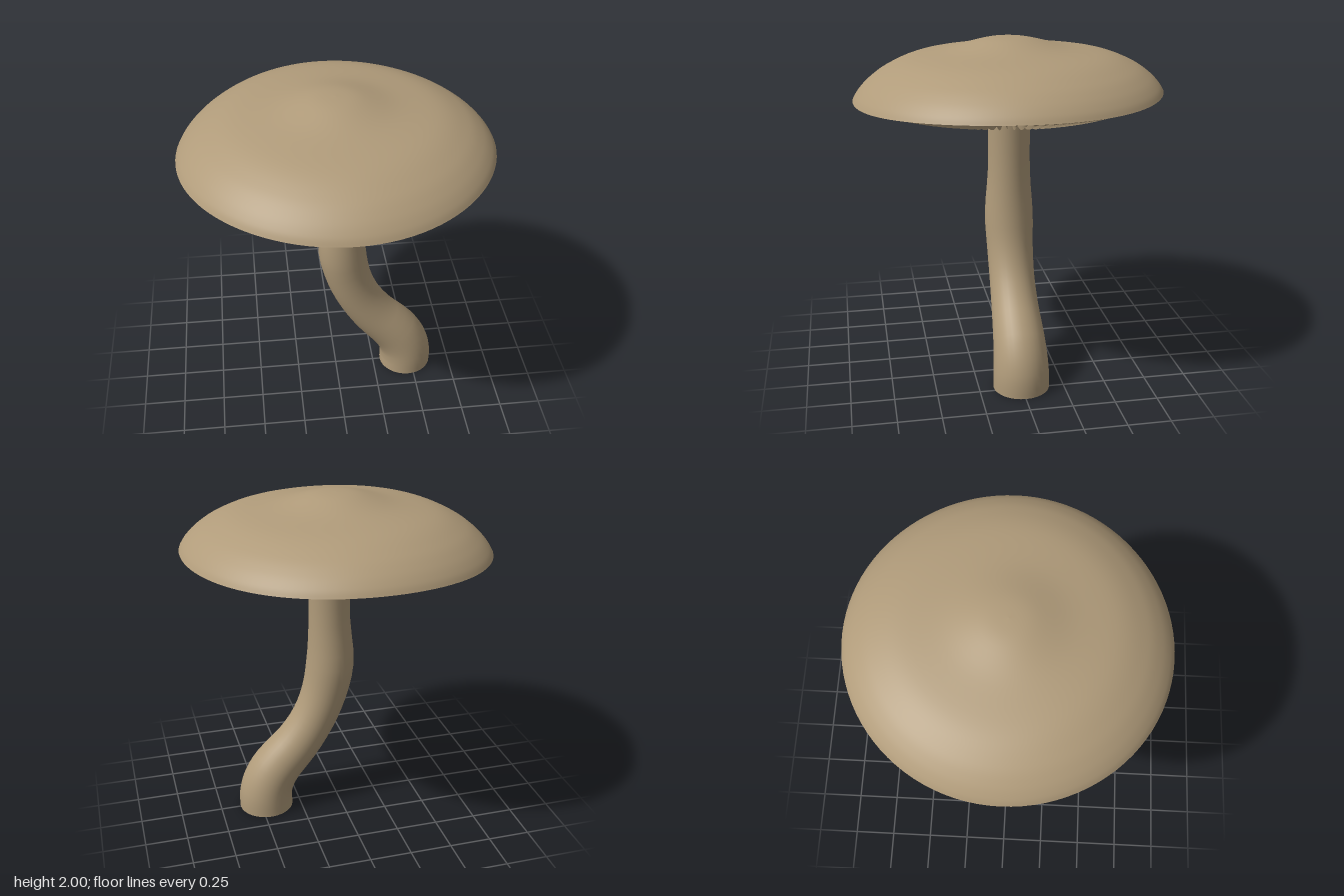
import * as THREE from 'three';

const TAU = Math.PI * 2;
const GILLS = 104;

// Closed ring grid: point(i, angle, j) gives the vertex of ring i.
function ringSurface(rings, sides, point) {
  const pos = [], index = [];
  for (let i = 0; i <= rings; i++) {
    for (let j = 0; j < sides; j++) pos.push(...point(i, (j / sides) * TAU, j));
  }
  for (let i = 0; i < rings; i++) {
    for (let j = 0; j < sides; j++) {
      const k = (j + 1) % sides;
      const a = i * sides + j, b = i * sides + k;
      const c = a + sides, d = b + sides;
      index.push(a, b, c, b, d, c);
    }
  }
  const geo = new THREE.BufferGeometry();
  geo.setAttribute('position', new THREE.Float32BufferAttribute(pos, 3));
  geo.setIndex(index);
  geo.computeVertexNormals();
  return geo;
}

// Smooth [radius, height] profile through a few points
const profile = (pts, n) =>
  new THREE.SplineCurve(pts.map(p => new THREE.Vector2(...p))).getPoints(n);

// Gentle tilt and ripple, growing towards the rim
function onCap(r, y, a) {
  const wave = 0.015 * Math.cos(a) - 0.02 * Math.sin(a) - 0.003
    + 0.008 * Math.sin(3 * a + 0.6);
  return [r * Math.cos(a), y + wave * (r / 0.9) ** 2, r * Math.sin(a) - 0.003];
}

export function createModel() {
  const group = new THREE.Group();
  const tan = new THREE.MeshStandardMaterial({ color: 0xb09b7a });
  tan.name = 'mushroom tan';
  const add = (name, geo) => {
    const mesh = new THREE.Mesh(geo, tan);
    mesh.name = name;
    group.add(mesh);
    return mesh;
  };

  // Cap: low central bump, rounded shoulder, thin rim
  const top = profile([[0, 2], [0.13, 1.99], [0.33, 1.94], [0.58, 1.895],
    [0.73, 1.835], [0.82, 1.775], [0.875, 1.72], [0.9, 1.68]], 36);
  add('cap', ringSurface(36, 96, (i, a) => onCap(top[i].x, top[i].y, a)));

  // Gills: pleats between a hanging edge and a recessed ceiling
  const edge = profile([[0.9, 1.68], [0.8, 1.65], [0.68, 1.61], [0.55, 1.585],
    [0.3, 1.577], [0.08, 1.58]], 16);
  const ceiling = profile([[0.9, 1.68], [0.8, 1.705], [0.68, 1.71], [0.55, 1.7],
    [0.3, 1.68], [0.08, 1.65]], 16);
  const gills = ringSurface(16, GILLS * 2, (i, a, j) => {
    const p = (j % 2 ? ceiling : edge)[i];
    return onCap(p.x, p.y, a);
  }).toNonIndexed();
  gills.computeVertexNormals();
  add('gills', gills);

  // Stem: bent tube swept from the cap to the ground, [x, y, radius]
  const path = new THREE.CatmullRomCurve3([
    [0.045, 1.68, 0.125], [0.045, 1.58, 0.125], [0.042, 1.22, 0.125],
    [0.04, 0.94, 0.145], [0.08, 0.74, 0.139], [0.15, 0.57, 0.136],
    [0.25, 0.42, 0.141], [0.385, 0.27, 0.153], [0.442, 0.17, 0.16],
    [0.463, 0.08, 0.165], [0.463, 0, 0.166],
  ].map(p => new THREE.Vector3(...p)));
  const rings = 30;
  add('stem', ringSurface(rings, 32, (i, a) => {
    const c = path.getPoint(i / rings);
    const t = path.getTangent(i / rings);
    const len = i === rings ? 1 : Math.hypot(t.x, t.y);
    const nx = i === rings ? 1 : -t.y / len;
    const ny = i === rings ? 0 : t.x / len;
    const r = c.z;
    return [c.x + r * Math.cos(a) * nx, c.y + r * Math.cos(a) * ny, r * Math.sin(a) - 0.002];
  }));

  // Flat cut end of the stem
  const base = add('stemBase', new THREE.CircleGeometry(0.166, 32));
  base.rotation.x = Math.PI / 2;
  base.position.set(0.463, 0, -0.002);

  return group;
}
